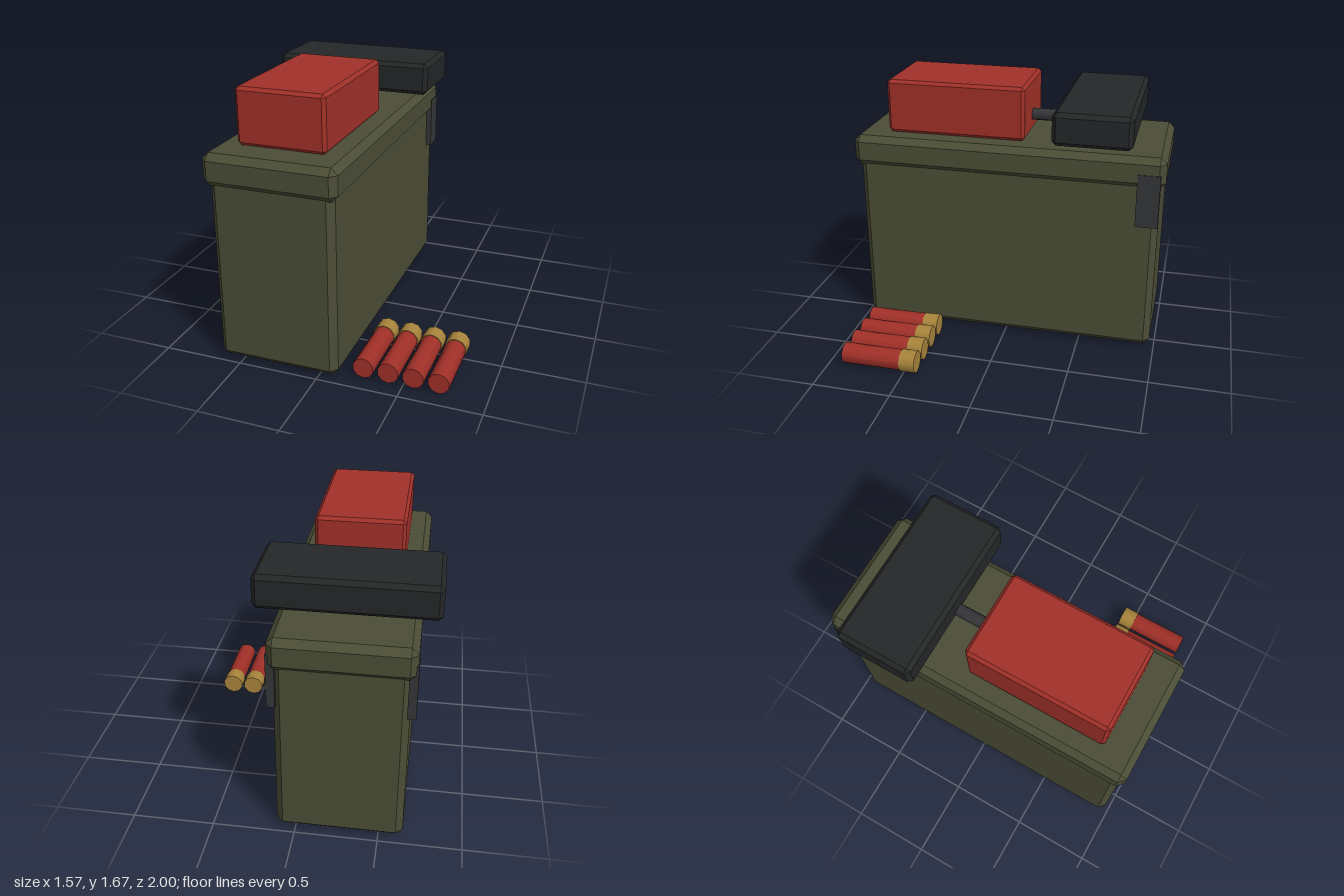
import * as THREE from 'three';
import { ConvexGeometry } from 'three/addons/geometries/ConvexGeometry.js';

const paint = (color) => new THREE.MeshStandardMaterial({ color });

// Box given by its extents, with every edge chamfered by c
function chamferBox(name, [x0, x1], [y0, y1], [z0, z1], c, material) {
  const half = [(x1 - x0) / 2, (y1 - y0) / 2, (z1 - z0) / 2];
  const points = [];
  for (const sx of [-1, 1]) for (const sy of [-1, 1]) for (const sz of [-1, 1])
    for (let axis = 0; axis < 3; axis++) {
      const h = half.map((v, i) => (i === axis ? v : v - c));
      points.push(new THREE.Vector3(sx * h[0], sy * h[1], sz * h[2]));
    }
  const mesh = new THREE.Mesh(new ConvexGeometry(points), material);
  mesh.position.set((x0 + x1) / 2, (y0 + y1) / 2, (z0 + z1) / 2);
  mesh.name = name;
  return mesh;
}

// Cylinder lying along z between z0 and z1
function rodZ(name, r, sides, x, y, z0, z1, material) {
  const geometry = new THREE.CylinderGeometry(r, r, z1 - z0, sides).rotateX(Math.PI / 2);
  const mesh = new THREE.Mesh(geometry, material);
  mesh.position.set(x, y, (z0 + z1) / 2);
  mesh.name = name;
  return mesh;
}

export function createModel() {
  const model = new THREE.Group();
  model.name = 'ammunitionBox';
  const olive = paint(0x4b4d36), red = paint(0xa03028), black = paint(0x242627);
  const steel = paint(0x343538), brass = paint(0xa8843c);
  const cx = -0.265;

  // Can and its overhanging lid
  model.add(chamferBox('canBody', [-0.645, 0.115], [0.01, 1.2], [-0.97, 0.97], 0.04, olive));
  model.add(chamferBox('lid', [-0.675, 0.145], [1.125, 1.325], [-1, 1], 0.04, olive));

  // Side latches near the back
  for (const side of [-1, 1]) {
    const latch = new THREE.Mesh(new THREE.BoxGeometry(0.05, 0.34, 0.14), steel);
    latch.position.set(cx + side * 0.39, 1.05, -0.9);
    latch.name = side < 0 ? 'rightLatch' : 'leftLatch';
    model.add(latch);
  }

  // Carrying handle with pointed feet
  model.add(rodZ('handleBar', 0.04, 8, cx, 1.43, -0.49, 0.49, steel));
  for (const z of [-0.485, 0.485]) {
    const foot = new THREE.Mesh(new THREE.ConeGeometry(0.042, 0.1, 8), steel);
    foot.position.set(cx, 1.37, z);
    foot.name = 'handleFoot';
    model.add(foot);
  }

  // Boxes resting on the lid
  model.add(chamferBox('cartridgeBox', [-0.54, 0.01], [1.325, 1.67], [-0.1, 0.8], 0.02, red));
  model.add(chamferBox('blackCase', [-0.785, 0.255], [1.395, 1.6], [-0.8, -0.315], 0.026, black));

  // Row of loose shells on the ground
  for (let i = 0; i < 4; i++) {
    const x = 0.257 + i * 0.153;
    const shell = new THREE.Group();
    shell.name = 'shell' + (i + 1);
    shell.add(rodZ('hull', 0.065, 10, x, 0.07, 0.5, 0.9, red));
    shell.add(rodZ('brassHead', 0.07, 10, x, 0.07, 0.42, 0.52, brass));
    model.add(shell);
  }
  return model;
}
